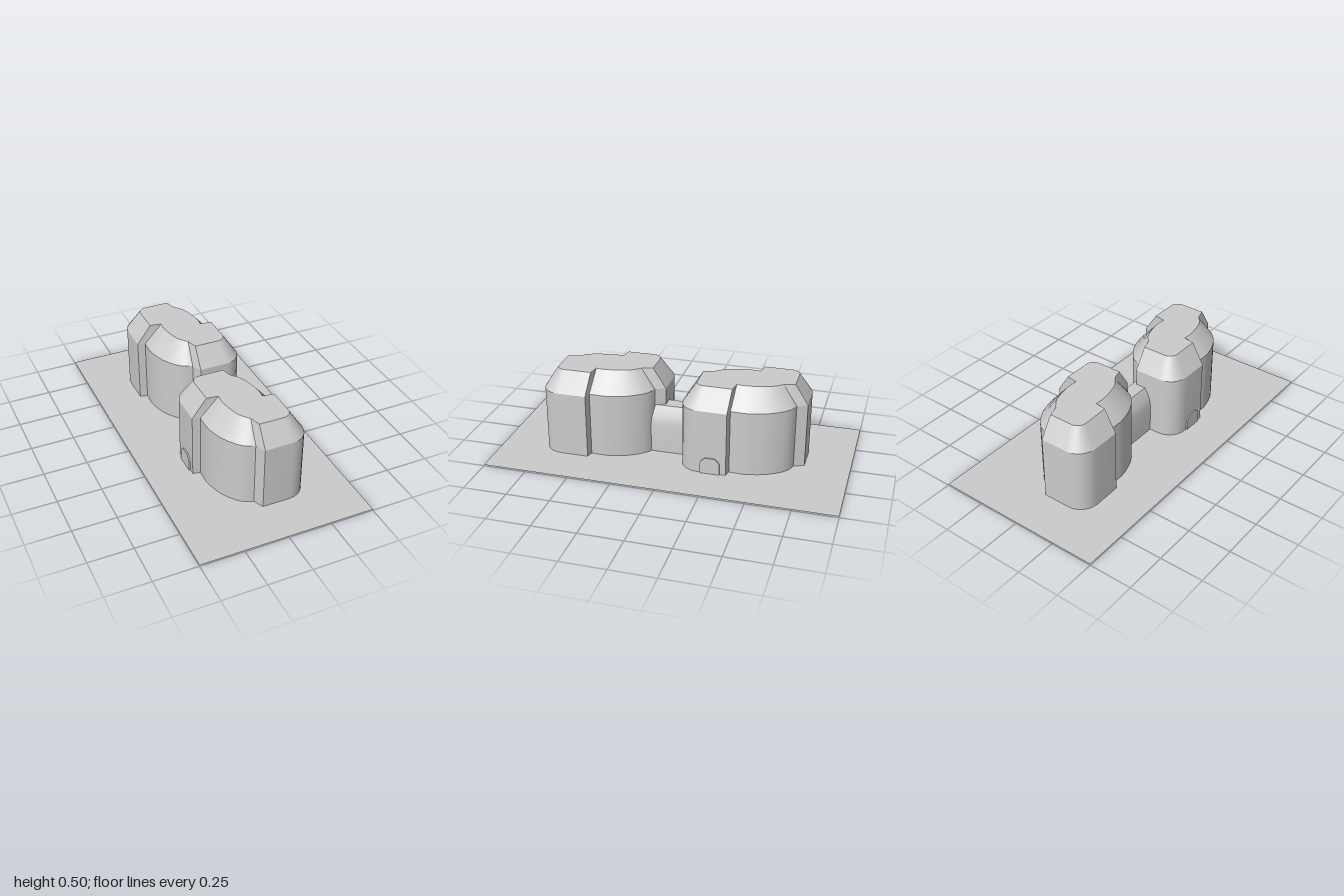
import * as THREE from 'three';
import { toCreasedNormals } from 'three/addons/utils/BufferGeometryUtils.js';

const GROUND = 0.007, EAVE = 0.383, TOP = 0.5;
const material = new THREE.MeshStandardMaterial({ color: 0xcccccc });
const doubleSided = new THREE.MeshStandardMaterial({ color: 0xcccccc, side: THREE.DoubleSide });

function addMesh(parent, name, geometry, mat = material) {
  const mesh = new THREE.Mesh(geometry, mat);
  mesh.name = name;
  parent.add(mesh);
  return mesh;
}

const toVectors = (pairs) => pairs.map(([x, z]) => new THREE.Vector2(x, z));

// Half a floor plan: a rounded corner block and a bowed side; the rest is its half turn.
function planOutline(halfWidth, halfDepth, radius, blockStart, bow) {
  const half = toVectors([[-halfWidth, blockStart]]);
  for (let i = 0; i <= 6; i++) {
    const a = (i / 6) * Math.PI / 2;
    half.push(new THREE.Vector2(
      -halfWidth + radius * (1 - Math.cos(a)),
      -halfDepth + radius * (1 - Math.sin(a))));
  }
  half.push(new THREE.Vector2(0.02, -halfDepth));
  half.push(...new THREE.SplineCurve(toVectors(bow)).getPoints(12));
  return [...half, ...half.map((p) => new THREE.Vector2(-p.x, -p.y))];
}

const wallPlan = planOutline(0.25, 0.338, 0.11, -0.065,
  [[0.045, -0.28], [0.11, -0.25], [0.175, -0.16], [0.207, -0.055], [0.21, 0], [0.207, 0.055]]);
const roofPlan = planOutline(0.172, 0.263, 0.05, -0.055,
  [[0.038, -0.2], [0.08, -0.145], [0.103, -0.06], [0.11, 0], [0.106, 0.045]]);

// Joins two matching outlines at different heights with a closed band of faces.
function band(lower, y0, upper, y1) {
  const positions = [];
  const n = lower.length;
  for (let i = 0; i < n; i++) {
    const j = (i + 1) % n;
    const aL = [lower[i].x, y0, lower[i].y], bL = [lower[j].x, y0, lower[j].y];
    const aH = [upper[i].x, y1, upper[i].y], bH = [upper[j].x, y1, upper[j].y];
    positions.push(...bL, ...aL, ...aH, ...bL, ...aH, ...bH);
  }
  const geometry = new THREE.BufferGeometry();
  geometry.setAttribute('position', new THREE.Float32BufferAttribute(positions, 3));
  return toCreasedNormals(geometry, 0.45);
}

function createBuilding(name) {
  const building = new THREE.Group();
  building.name = name;
  addMesh(building, 'walls', band(wallPlan, GROUND, wallPlan, EAVE));
  addMesh(building, 'slopedRoof', band(wallPlan, EAVE, roofPlan, TOP));
  const cap = new THREE.ShapeGeometry(
    new THREE.Shape(roofPlan.map((p) => new THREE.Vector2(p.x, -p.y))));
  addMesh(building, 'flatRoof', cap.rotateX(-Math.PI / 2).translate(0, TOP, 0));
  return building;
}

// Arch with straight sides and angled shoulders, extruded along z and centred.
function archGeometry(halfWidth, height, base, depth) {
  const right = [[1, 0], [1, 0.62], [0.9, 0.78], [0.5, 1]];
  const left = right.map(([x, y]) => [-x, y]).reverse();
  const shape = new THREE.Shape(toVectors([...right, ...left].map(
    ([x, y]) => [x * halfWidth, base + y * (height - base)])));
  const geometry = new THREE.ExtrudeGeometry(shape, { depth, bevelEnabled: false });
  return toCreasedNormals(geometry.translate(0, 0, -depth / 2), 0.6);
}

export function createModel() {
  const model = new THREE.Group();
  model.name = 'twinBuildings';

  const ground = addMesh(model, 'ground', new THREE.PlaneGeometry(1, 2), doubleSided);
  ground.rotation.x = -Math.PI / 2;
  ground.position.y = GROUND;

  for (const side of [1, -1]) {
    const building = createBuilding(side > 0 ? 'frontBuilding' : 'backBuilding');
    building.position.z = side * 0.405;
    model.add(building);

    // Door on the outer block wall, with a small step at its foot
    const entrance = new THREE.Group();
    entrance.name = 'entrance';
    addMesh(entrance, 'door', archGeometry(0.056, 0.102, GROUND, 0.02));
    addMesh(entrance, 'doorStep', new THREE.BoxGeometry(0.025, 0.008, 0.012)).position.y = 0.004;
    entrance.position.set(-side * 0.248, 0, side * 0.25);
    entrance.rotation.y = Math.PI / 2;
    model.add(entrance);
  }

  // Covered passage between the two buildings
  addMesh(model, 'passage', archGeometry(0.082, 0.285, GROUND, 0.34));
  return model;
}
